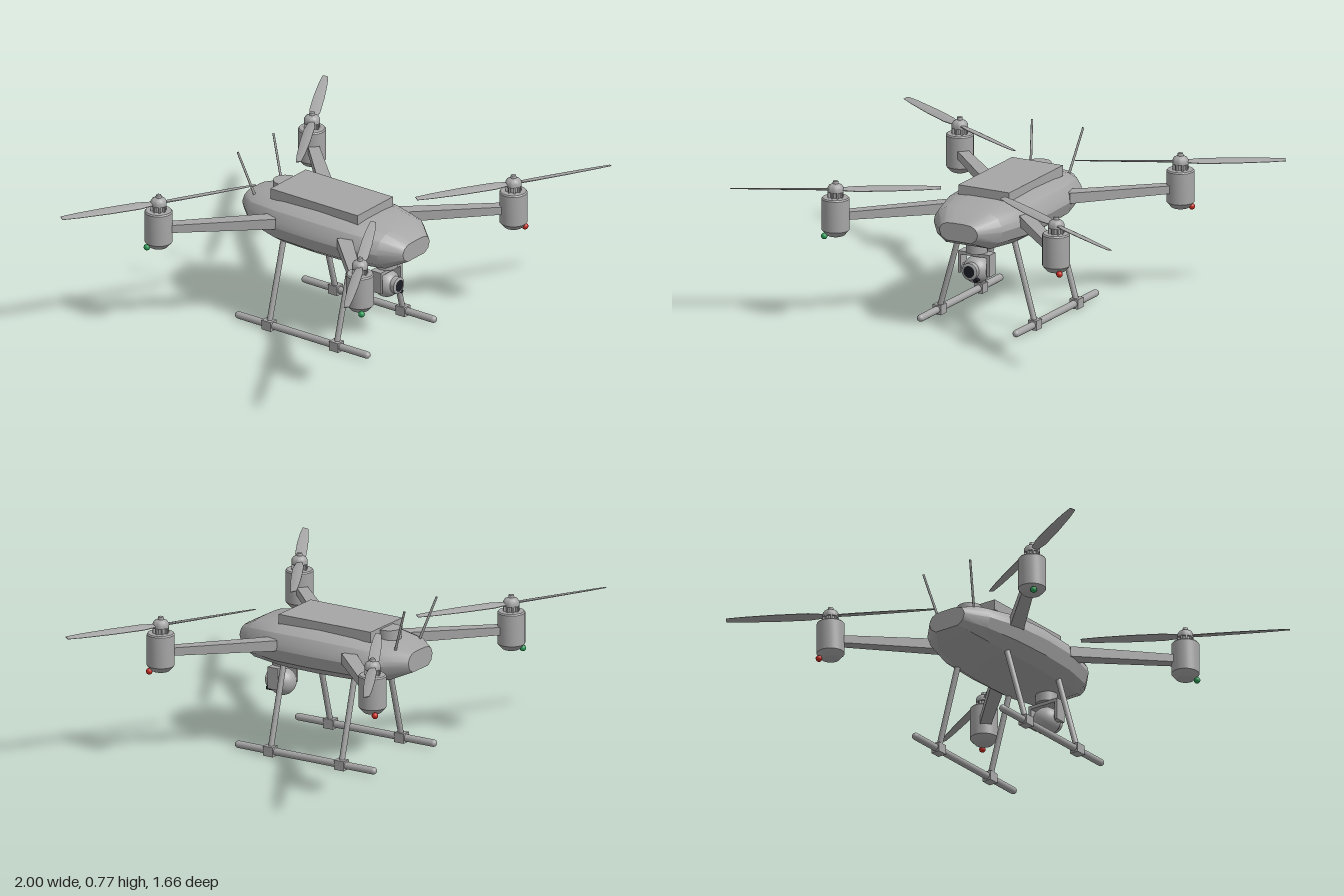
import * as THREE from 'three';
import { toCreasedNormals } from 'three/addons/utils/BufferGeometryUtils.js';

const mat = (name, color) => {
  const m = new THREE.MeshStandardMaterial({ color });
  m.name = name;
  return m;
};

// Skin closed rings of points (counter-clockwise seen from the far end), with end caps
function loft(rings, crease) {
  const n = rings[0].length, pos = rings.flat(2), idx = [];
  for (let i = 0; i < rings.length - 1; i++) {
    for (let j = 0; j < n; j++) {
      const k = (j + 1) % n, a = i * n + j, b = i * n + k;
      idx.push(a, b, b + n, a, b + n, a + n);
    }
  }
  const last = (rings.length - 1) * n;
  for (let j = 1; j < n - 1; j++) idx.push(0, j + 1, j, last, last + j, last + j + 1);
  const g = new THREE.BufferGeometry();
  g.setAttribute('position', new THREE.Float32BufferAttribute(pos, 3));
  g.setIndex(idx);
  return toCreasedNormals(g, crease);
}

const lathe = (pts, seg = 28) =>
  toCreasedNormals(new THREE.LatheGeometry(pts.map(p => new THREE.Vector2(...p)), seg), 0.6);

export function createModel() {
  const grey = mat('shell grey', 0xa6a6a6);
  const dark = mat('lens black', 0x1a1d24);
  const red = mat('red lamp', 0xc0281e);
  const green = mat('green lamp', 0x2a9a55);

  const model = new THREE.Group();
  model.name = 'quadcopter';
  const add = (parent, name, geo, material, x = 0, y = 0, z = 0) => {
    const m = new THREE.Mesh(geo, material);
    m.name = name;
    m.position.set(x, y, z);
    parent.add(m);
    return m;
  };
  // Round bar between two points
  const rod = (parent, name, a, b, r, r2 = r) => {
    const p = new THREE.Vector3(...a), q = new THREE.Vector3(...b), d = q.clone().sub(p);
    const m = add(parent, name, new THREE.CylinderGeometry(r2, r, d.length(), 14), grey);
    m.position.copy(p).add(q).multiplyScalar(0.5);
    m.quaternion.setFromUnitVectors(new THREE.Vector3(0, 1, 0), d.normalize());
    return m;
  };

  // Fuselage: half profile in fractions of half width and height, mirrored
  const half = [[0.64, -1], [0.9, -0.6], [1, 0], [0.97, 0.3], [0.86, 0.68], [0.62, 0.93], [0.3, 0.99]];
  const profile = [...half, ...half.map(([x, y]) => [-x, y]).reverse()];
  const sections = [ // z, half width, bottom, top
    [-0.46, 0.1, 0.465, 0.56], [-0.37, 0.18, 0.427, 0.583], [-0.2, 0.225, 0.405, 0.605], [0, 0.235, 0.403, 0.611],
    [0.2, 0.225, 0.403, 0.606], [0.37, 0.18, 0.412, 0.588], [0.46, 0.1, 0.452, 0.538]];
  add(model, 'fuselage', loft(sections.map(([z, w, lo, hi]) =>
    profile.map(([x, y]) => [x * w, (lo + hi) / 2 + y * (hi - lo) / 2, z])), 0.5), grey);

  // Battery lid and round receiver behind it
  add(model, 'batteryLid', new THREE.BoxGeometry(0.266, 0.05, 0.5), grey, 0, 0.618, -0.025);
  add(model, 'receiver', new THREE.CylinderGeometry(0.056, 0.056, 0.05, 28), grey, 0, 0.61, -0.29);

  // Shared motor and rotor geometry
  const motorGeo = lathe([[0, 0.43], [0.036, 0.43], [0.042, 0.433], [0.064, 0.458], [0.064, 0.605], [0.059, 0.611], [0, 0.611]]);
  const hubGeo = lathe([[0.026, 0.605], [0.026, 0.638], [0.037, 0.638], [0.037, 0.656], [0.03, 0.668],
    [0.014, 0.676], [0.012, 0.688], [0, 0.692]]);
  const finGeo = new THREE.BoxGeometry(0.014, 0.03, 0.008);
  const bladeGeo = pitch => loft([[0.02, 0.014, 0.006], [0.1, 0.027, 0.005], [0.25, 0.027, 0.004], [0.4, 0.021, 0.003], [0.48, 0.014, 0.002]]
    .map(([x, c, t]) => Array.from({ length: 10 }, (_, i) => {
      const a = i / 10 * Math.PI * 2, y = t * Math.cos(a), z = c * Math.sin(a);
      return [x, y * Math.cos(pitch) - z * Math.sin(pitch) + x * 0.012, y * Math.sin(pitch) + z * Math.cos(pitch)];
    })), 0.9);
  // Tapered arm along +x
  const armGeo = loft([[0, 0.034, 0.025], [0.53, 0.025, 0.018]].map(([x, w, h]) =>
    [[h, -w], [h, w], [-h, w], [-h, -w]].map(([y, z]) => [x, y, z])), 0.3);

  for (const sx of [-1, 1]) {
    for (const sz of [-1, 1]) {
      const side = (sz > 0 ? 'front' : 'rear') + (sx > 0 ? 'Left' : 'Right');
      const arm = add(model, side + 'Arm', armGeo, grey, sx * 0.2, 0.524, sz * 0.2);
      arm.rotation.y = Math.atan2(-sz, sx);

      const unit = new THREE.Group();
      unit.name = side + 'MotorUnit';
      unit.position.set(sx * 0.577, 0, sz * 0.577);
      model.add(unit);
      add(unit, 'motor', motorGeo, grey);
      add(unit, 'hub', hubGeo, grey);
      for (let i = 0; i < 8; i++) {
        const a = i / 8 * Math.PI * 2;
        add(unit, 'hubFin', finGeo, grey, 0.03 * Math.cos(a), 0.624, -0.03 * Math.sin(a)).rotation.y = a;
      }
      const blade = bladeGeo(-sx * sz * 0.22);
      for (const turn of [0, Math.PI]) {
        add(unit, 'blade', blade, grey, 0, 0.648, 0).rotation.y = Math.atan2(-sz * 0.5, sx * 0.866) + turn;
      }
      add(unit, 'lamp', new THREE.SphereGeometry(0.015, 16, 12), sx > 0 ? red : green, sx * 0.038, 0.43, sz * 0.038);

      // Landing leg with its clamp
      rod(model, side + 'Leg', [sx * 0.25, 0.03, sz * 0.193], [sx * 0.138, 0.425, sz * 0.193], 0.0135);
      add(model, side + 'Clamp', new THREE.BoxGeometry(0.044, 0.046, 0.052), grey, sx * 0.25, 0.028, sz * 0.193);
    }

    // Skid and antenna on each side
    const skid = add(model, 'skid', new THREE.CapsuleGeometry(0.017, 0.734, 6, 16), grey, sx * 0.25, 0.028, 0);
    skid.rotation.x = Math.PI / 2;
    rod(model, 'antenna', [sx * 0.1, 0.565, -0.388], [sx * 0.134, 0.774, -0.461], 0.006, 0.005);
  }

  // Camera gimbal
  const gimbal = new THREE.Group();
  gimbal.name = 'cameraGimbal';
  gimbal.position.set(0, 0.278, 0.29);
  model.add(gimbal);
  add(gimbal, 'mount', new THREE.CylinderGeometry(0.05, 0.05, 0.05, 24), grey, 0, 0.108, 0);
  add(gimbal, 'yokeTop', new THREE.BoxGeometry(0.164, 0.016, 0.058), grey, 0, 0.076, 0);
  for (const s of [-1, 1]) {
    add(gimbal, 'yokeArm', new THREE.BoxGeometry(0.014, 0.1, 0.058), grey, s * 0.075, 0.03, 0);
    add(gimbal, 'pivot', new THREE.CylinderGeometry(0.022, 0.022, 0.03, 20), grey, s * 0.066, 0, 0).rotation.z = Math.PI / 2;
  }
  add(gimbal, 'cameraBall', new THREE.SphereGeometry(0.064, 32, 20), grey);
  const barrel = add(gimbal, 'lensBarrel', lathe([[0.04, 0.04], [0.04, 0.07], [0.034, 0.074], [0.028, 0.074], [0.028, 0.066], [0, 0.066]]), grey, 0, 0.005, 0);
  barrel.rotation.x = Math.PI / 2;
  const lens = add(gimbal, 'lens', new THREE.CylinderGeometry(0.028, 0.028, 0.008, 24), dark, 0, 0.005, 0.069);
  lens.rotation.x = Math.PI / 2;
  const sensor = add(gimbal, 'sensor', new THREE.CylinderGeometry(0.01, 0.01, 0.03, 16), dark, 0.028, -0.034, 0.052);
  sensor.rotation.x = Math.PI / 2;

  return model;
}
